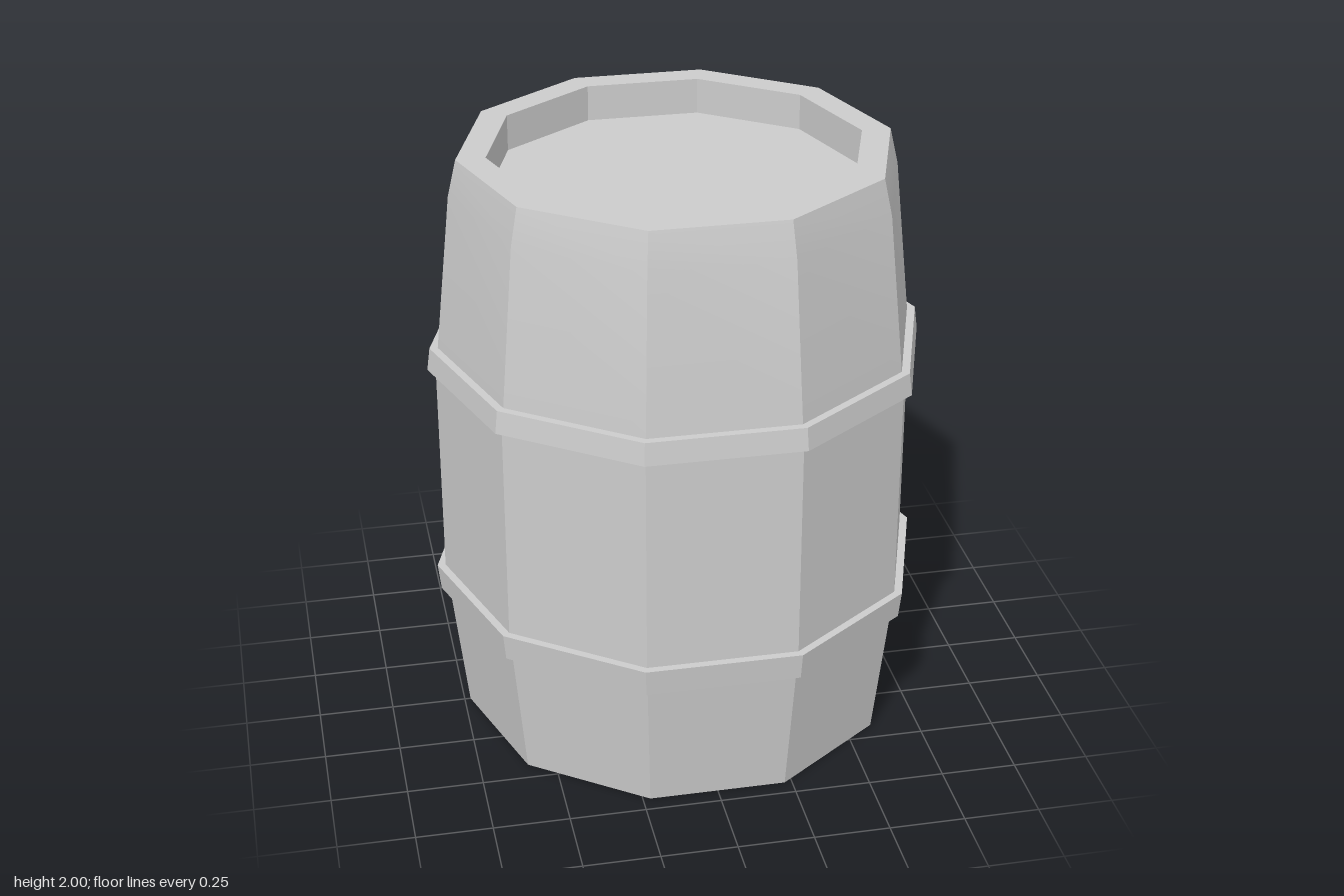
import * as THREE from 'three';
import { toCreasedNormals } from 'three/addons/utils/BufferGeometryUtils.js';

const SIDES = 10;

export function createModel() {
  const barrel = new THREE.Group();
  barrel.name = 'barrel';
  const material = new THREE.MeshStandardMaterial({ color: 0xcccccc, side: THREE.DoubleSide });

  const add = (name, geometry) => {
    const mesh = new THREE.Mesh(geometry, material);
    mesh.name = name;
    barrel.add(mesh);
    return mesh;
  };

  // Ten-sided ring from a [radius, height] profile, with a corner on +x;
  // facets stay sharp while the gentle bend near the top is smoothed
  const ring = (name, profile) => {
    const points = profile.map(([r, y]) => new THREE.Vector2(r, y));
    const lathe = new THREE.LatheGeometry(points, SIDES, Math.PI / 2);
    return add(name, toCreasedNormals(lathe, 0.35));
  };

  // Wall, open at the bottom; the hoops are hollow steps in the same shell
  ring('lowerStaves', [[0.73, 0], [0.783, 0.46]]);
  ring('lowerHoop', [[0.783, 0.46], [0.81, 0.46], [0.82, 0.55], [0.793, 0.55]]);
  ring('middleStaves', [[0.793, 0.55], [0.793, 1.285]]);
  ring('upperHoop', [[0.793, 1.285], [0.82, 1.285], [0.81, 1.36], [0.783, 1.36]]);
  ring('upperStaves', [[0.783, 1.36], [0.728, 1.88], [0.7, 2]]);

  // Flat rim with a short inner wall down to the sunken lid
  ring('rim', [[0.7, 2], [0.605, 2], [0.605, 1.88]]);
  const lid = add('lid', new THREE.CircleGeometry(0.605, SIDES));
  lid.rotation.x = -Math.PI / 2;
  lid.position.y = 1.88;

  return barrel;
}
